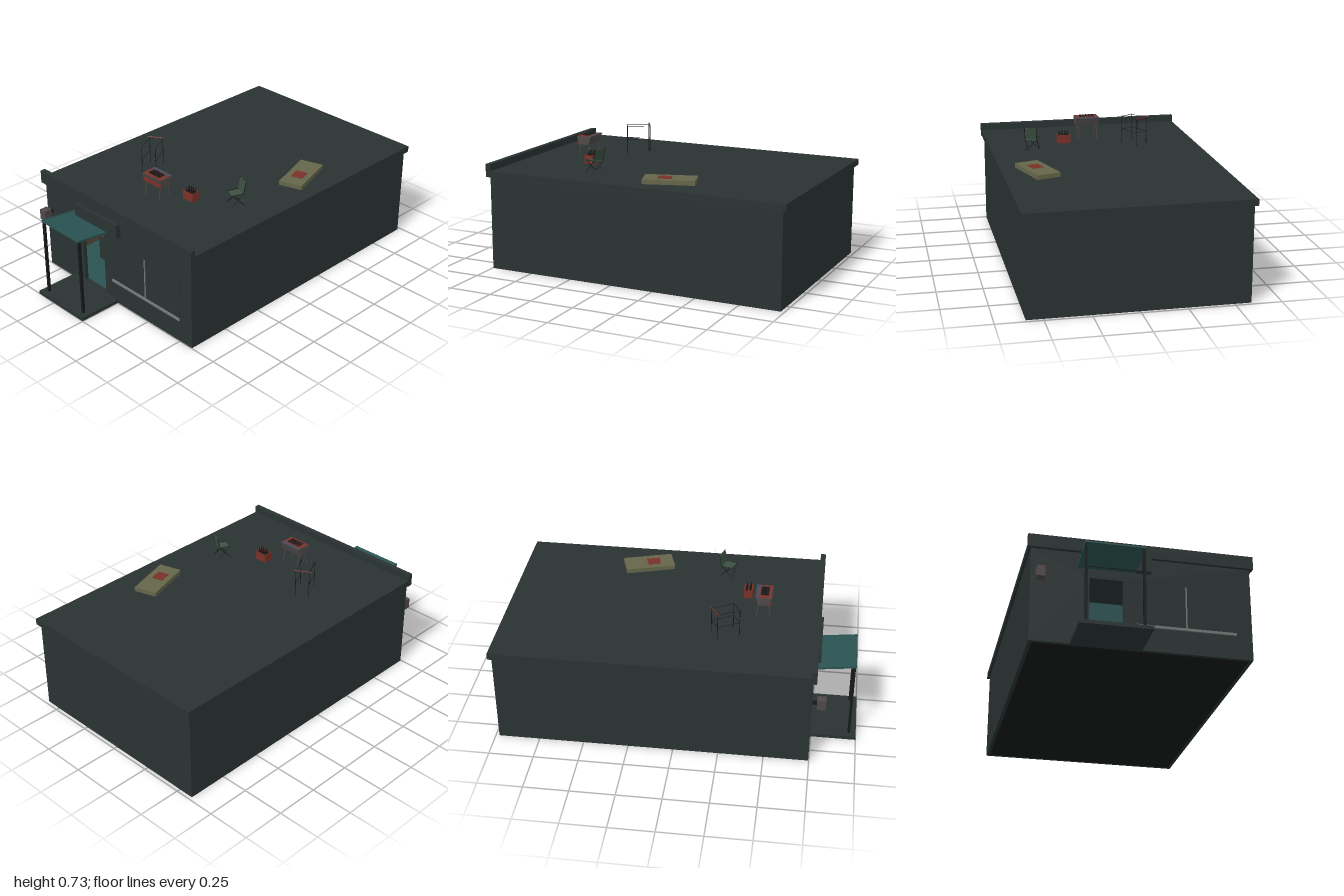
import * as THREE from 'three';

const mat = (color) => new THREE.MeshStandardMaterial({ color, side: THREE.DoubleSide });
const M = {
  wall: mat(0x2a3232), black: mat(0x161819), teal: mat(0x2a5252), tan: mat(0x5a4834),
  pale: mat(0x707a78), red: mat(0x7a3028), grey: mat(0x504848), purple: mat(0x484858),
  green: mat(0x3c5040), straw: mat(0x66664a), orange: mat(0x9a5a3a),
};

function add(parent, name, geo, material) {
  const m = new THREE.Mesh(geo, material);
  m.name = name;
  parent.add(m);
  return m;
}

// Box given by its minimum and maximum on each axis
function box(parent, name, material, x0, x1, y0, y1, z0, z1) {
  const m = add(parent, name, new THREE.BoxGeometry(x1 - x0, y1 - y0, z1 - z0), material);
  m.position.set((x0 + x1) / 2, (y0 + y1) / 2, (z0 + z1) / 2);
  return m;
}

// Thin round bar between two points
function bar(parent, name, material, a, b, r = 0.002) {
  const p = new THREE.Vector3(...a), q = new THREE.Vector3(...b);
  const m = add(parent, name, new THREE.CylinderGeometry(r, r, p.distanceTo(q), 6), material);
  m.position.copy(p).add(q).multiplyScalar(0.5);
  m.quaternion.setFromUnitVectors(new THREE.Vector3(0, 1, 0), q.sub(p).normalize());
  return m;
}

function group(parent, name, x = 0, y = 0, z = 0, turn = 0) {
  const g = new THREE.Group();
  g.name = name;
  g.position.set(x, y, z);
  g.rotation.y = turn;
  parent.add(g);
  return g;
}

const ROOF = 0.565;

function buildShell(root) {
  const g = group(root, 'building');
  // Front wall with the doorway cut out
  const s = new THREE.Shape();
  s.moveTo(-0.59, 0).lineTo(0.59, 0).lineTo(0.59, 0.53).lineTo(-0.59, 0.53).closePath();
  const h = new THREE.Path();
  h.moveTo(-0.28, 0.025).lineTo(-0.28, 0.387).lineTo(-0.1, 0.387).lineTo(-0.1, 0.025).closePath();
  s.holes.push(h);
  add(g, 'frontWall', new THREE.ExtrudeGeometry(s, { depth: 0.02, bevelEnabled: false }), M.wall).position.z = 0.727;
  for (const k of [-1, 1]) {
    const x = 0.58 * k;
    box(g, 'sideWall', M.wall, x - 0.01, x + 0.01, 0, 0.53, -0.98, 0.727);
    box(g, 'sideWallLining', M.tan, x - 0.012 * k - 0.001, x - 0.012 * k + 0.001, 0.02, 0.53, -0.6, 0.725);
  }
  box(g, 'backWall', M.wall, -0.57, 0.57, 0, 0.53, -0.98, -0.96);
  box(g, 'floor', M.black, -0.57, 0.57, 0, 0.02, -0.96, 0.727);
  box(g, 'roof', M.wall, -0.605, 0.605, 0.53, ROOF, -1, 0.74);
  box(g, 'parapet', M.wall, -0.608, 0.608, 0.53, 0.604, 0.735, 0.765);

  // Wide window with a pale sill and mullion
  box(g, 'windowPane', M.wall, -0.03, 0.5, 0.14, 0.385, 0.745, 0.749);
  box(g, 'windowSill', M.pale, -0.033, 0.502, 0.131, 0.145, 0.745, 0.756);
  box(g, 'windowMullion', M.pale, 0.232, 0.239, 0.145, 0.385, 0.745, 0.753);

  // Blank sign board and wall box
  box(g, 'signBoard', M.wall, -0.3, 0.045, 0.442, 0.525, 0.747, 0.778);
  box(g, 'wallBox', M.grey, -0.566, -0.522, 0.334, 0.394, 0.772, 0.82);
  box(g, 'wallBoxBracket', M.black, -0.55, -0.538, 0.355, 0.375, 0.745, 0.774);
}

function buildInterior(root) {
  const g = group(root, 'frontRoom');
  box(g, 'roomFloor', M.teal, -0.56, 0.56, 0.02, 0.024, 0.2, 0.727);
  box(g, 'roomBackWall', M.teal, -0.56, 0.56, 0.024, 0.53, 0.19, 0.2);
  box(g, 'counter', M.wall, -0.4, 0.1, 0.024, 0.19, 0.44, 0.54);
  box(g, 'counterTop', M.orange, -0.41, 0.11, 0.19, 0.197, 0.43, 0.55);
  box(g, 'counterLedge', M.pale, -0.4, 0.1, 0.197, 0.206, 0.43, 0.5);
  box(g, 'till', M.pale, -0.28, -0.235, 0.197, 0.235, 0.5, 0.54);
  box(g, 'wallTrim', M.pale, -0.235, -0.226, 0.2, 0.45, 0.2, 0.206);
}

function buildPorch(root) {
  const g = group(root, 'porch');
  box(g, 'porchSlab', M.wall, -0.378, -0.002, 0, 0.02, 0.747, 1);
  for (const x of [-0.338, -0.04]) box(g, 'porchPost', M.black, x - 0.007, x + 0.007, 0.02, 0.466, 0.954, 0.968);
  // Canopy rising toward the front
  const c = add(g, 'canopy', new THREE.BoxGeometry(0.312, 0.008, 0.226), M.teal);
  c.position.set(-0.19, 0.458, 0.86);
  c.rotation.x = -0.125;
  for (const k of [-1, 1]) {
    const e = add(g, 'canopyEdge', new THREE.BoxGeometry(0.006, 0.012, 0.226), M.teal);
    e.position.set(-0.19 + 0.153 * k, 0.459, 0.86);
    e.rotation.x = -0.125;
  }
}

function buildGrill(root) {
  const g = group(root, 'grill', 0.005, ROOF, 0.44);
  // Tapered tray, wider at the top
  const tray = new THREE.BoxGeometry(0.14, 0.048, 0.09);
  const p = tray.attributes.position;
  for (let i = 0; i < p.count; i++) if (p.getY(i) < 0) p.setZ(i, p.getZ(i) * 0.65);
  tray.computeVertexNormals();
  add(g, 'tray', tray, M.grey).position.y = 0.104;
  box(g, 'frontPanel', M.red, -0.069, 0.069, 0.08, 0.104, 0.03, 0.039);
  box(g, 'backShelf', M.purple, -0.07, 0.07, 0.125, 0.13, -0.047, -0.025);
  box(g, 'coals', M.red, -0.064, 0.064, 0.126, 0.13, -0.025, 0.042);
  for (let i = 0; i < 5; i++) {
    const x = -0.036 + i * 0.018;
    box(g, 'food', M.black, x - 0.004, x + 0.004, 0.13, 0.136, -0.018, 0.025);
  }
  for (const x of [-0.055, 0.055]) for (const k of [-1, 1])
    bar(g, 'leg', M.grey, [x, 0, 0.04 * k], [x, 0.085, 0.026 * k], 0.003);
}

function buildCrate(root) {
  const g = group(root, 'bottleCrate', 0.163, ROOF, 0.34);
  box(g, 'crateBase', M.red, -0.038, 0.038, 0, 0.03, -0.025, 0.025);
  for (const k of [-1, 1]) {
    box(g, 'crateSide', M.red, -0.038, 0.038, 0.03, 0.05, k * 0.023 - 0.002, k * 0.023 + 0.002);
    box(g, 'crateEnd', M.red, k * 0.036 - 0.002, k * 0.036 + 0.002, 0.03, 0.05, -0.025, 0.025);
  }
  const profile = [[0, 0], [0.006, 0], [0.006, 0.02], [0.003, 0.028], [0.003, 0.04], [0, 0.04]]
    .map(([x, y]) => new THREE.Vector2(x, y));
  const bottle = new THREE.LatheGeometry(profile, 8);
  for (let i = 0; i < 4; i++) for (const z of [-0.01, 0.01])
    add(g, 'bottle', bottle, M.black).position.set(-0.024 + i * 0.016, 0.03, z);
}

function buildChair(root) {
  const g = group(root, 'foldingChair', 0.37, ROOF, 0.205, -0.37);
  box(g, 'seat', M.green, -0.032, 0.032, 0.064, 0.068, -0.03, 0.032);
  const back = box(g, 'backrest', M.green, -0.032, 0.032, 0.07, 0.138, -0.038, -0.034);
  back.rotation.x = -0.2;
  for (const k of [-1, 1]) {
    const x = 0.034 * k;
    // Crossed legs and back upright
    bar(g, 'leg', M.black, [x, 0, 0.036], [x, 0.068, -0.03]);
    bar(g, 'leg', M.black, [x, 0, -0.036], [x, 0.068, 0.032]);
    bar(g, 'backUpright', M.black, [x, 0.062, -0.028], [x, 0.138, -0.045]);
    bar(g, 'armRail', M.black, [x, 0.07, -0.03], [x, 0.07, 0.034]);
    bar(g, 'frontCross', M.black, [-x, 0, 0.036 * k], [x, 0.064, 0.032 * k]);
  }
}

function buildRack(root) {
  const g = group(root, 'wheeledRack', 0, ROOF, 0);
  const A = [-0.31, 0.21], B = [-0.245, 0.17], C = [-0.25, 0.325], D = [-0.18, 0.285];
  const at = ([x, z], y) => [x, y, z];
  for (const c of [A, B, C, D]) {
    bar(g, 'upright', M.black, at(c, 0), at(c, 0.158), 0.0018);
    add(g, 'caster', new THREE.SphereGeometry(0.004, 8, 6), M.black).position.set(c[0], 0.004, c[1]);
  }
  for (const [p, q] of [[A, B], [B, D], [D, C], [C, A]])
    for (const y of [0.078, 0.156]) bar(g, 'rail', M.black, at(p, y), at(q, y), 0.0014);
  bar(g, 'topHandle', M.red, [-0.32, 0.162, 0.215], [-0.24, 0.162, 0.166], 0.003);
}

function buildMattress(root) {
  const g = group(root, 'mattress', 0.413, ROOF, -0.273, 0.3);
  box(g, 'pad', M.straw, -0.068, 0.068, 0, 0.025, -0.143, 0.143);
  box(g, 'foldedCloth', M.red, -0.033, 0.033, 0.025, 0.027, -0.01, 0.065);
}

export function createModel() {
  const root = new THREE.Group();
  root.name = 'officeBuilding';
  for (const build of [buildShell, buildInterior, buildPorch, buildGrill, buildCrate, buildChair, buildRack, buildMattress])
    build(root);
  return root;
}
